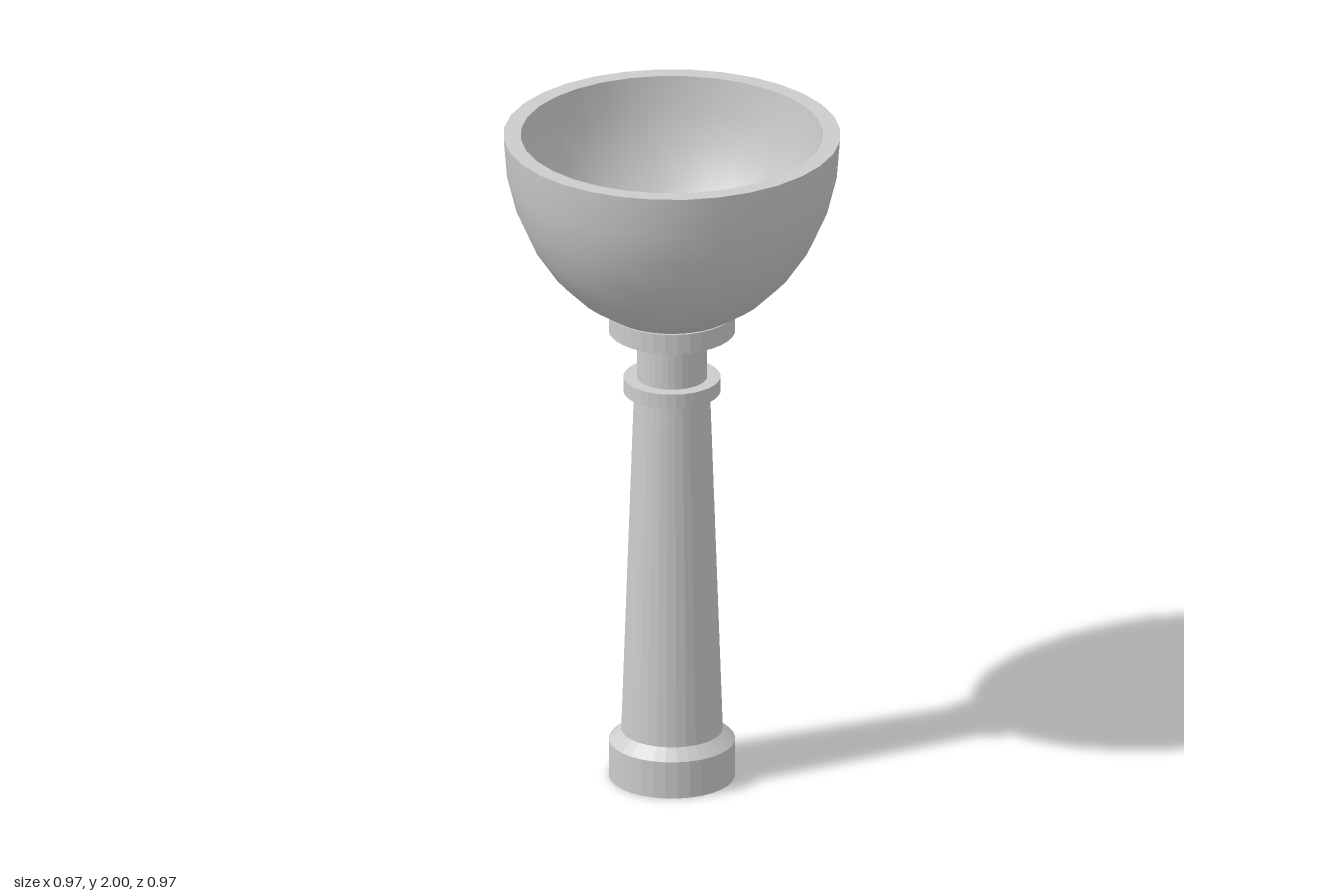
import * as THREE from 'three';

const SEGMENTS = 32;

export function createModel() {
  const group = new THREE.Group();
  const smooth = new THREE.MeshStandardMaterial({ color: 0xcccccc });
  const faceted = new THREE.MeshStandardMaterial({ color: 0xcccccc, flatShading: true });

  function add(name, geometry, material, y = 0) {
    const mesh = new THREE.Mesh(geometry, material);
    mesh.name = name;
    mesh.position.y = y;
    group.add(mesh);
  }

  // Round section standing between two heights
  function turned(name, bottomRadius, topRadius, y0, y1) {
    const geometry = new THREE.CylinderGeometry(topRadius, bottomRadius, y1 - y0, SEGMENTS);
    add(name, geometry, faceted, (y0 + y1) / 2);
  }

  // Quarter-ellipse profile from the bottom centre up to the rim
  function bowlProfile(radius, depth) {
    const points = [];
    for (let i = 0; i <= 8; i++) {
      const a = (i / 8) * Math.PI / 2;
      points.push(new THREE.Vector2(radius * Math.sin(a), -depth * Math.cos(a)));
    }
    return points;
  }

  // Stem, from the foot up
  turned('foot', 0.183, 0.183, 0, 0.113);
  turned('footBevel', 0.183, 0.147, 0.113, 0.145);
  turned('shaft', 0.147, 0.11, 0.145, 1.2);
  turned('ring', 0.14, 0.14, 1.2, 1.245);
  turned('neck', 0.102, 0.102, 1.245, 1.39);
  turned('collar', 0.183, 0.183, 1.39, 1.45);

  // Hollow bowl: outer shell, inner shell and flat rim
  const outer = bowlProfile(0.487, 0.59);
  const inner = bowlProfile(0.437, 0.53);
  add('bowlOutside', new THREE.LatheGeometry(outer, SEGMENTS), smooth, 2);
  add('bowlInside', new THREE.LatheGeometry(inner.reverse(), SEGMENTS), smooth, 2);
  const rim = new THREE.RingGeometry(0.437, 0.487, SEGMENTS).rotateX(-Math.PI / 2);
  add('bowlRim', rim, faceted, 2);

  return group;
}
